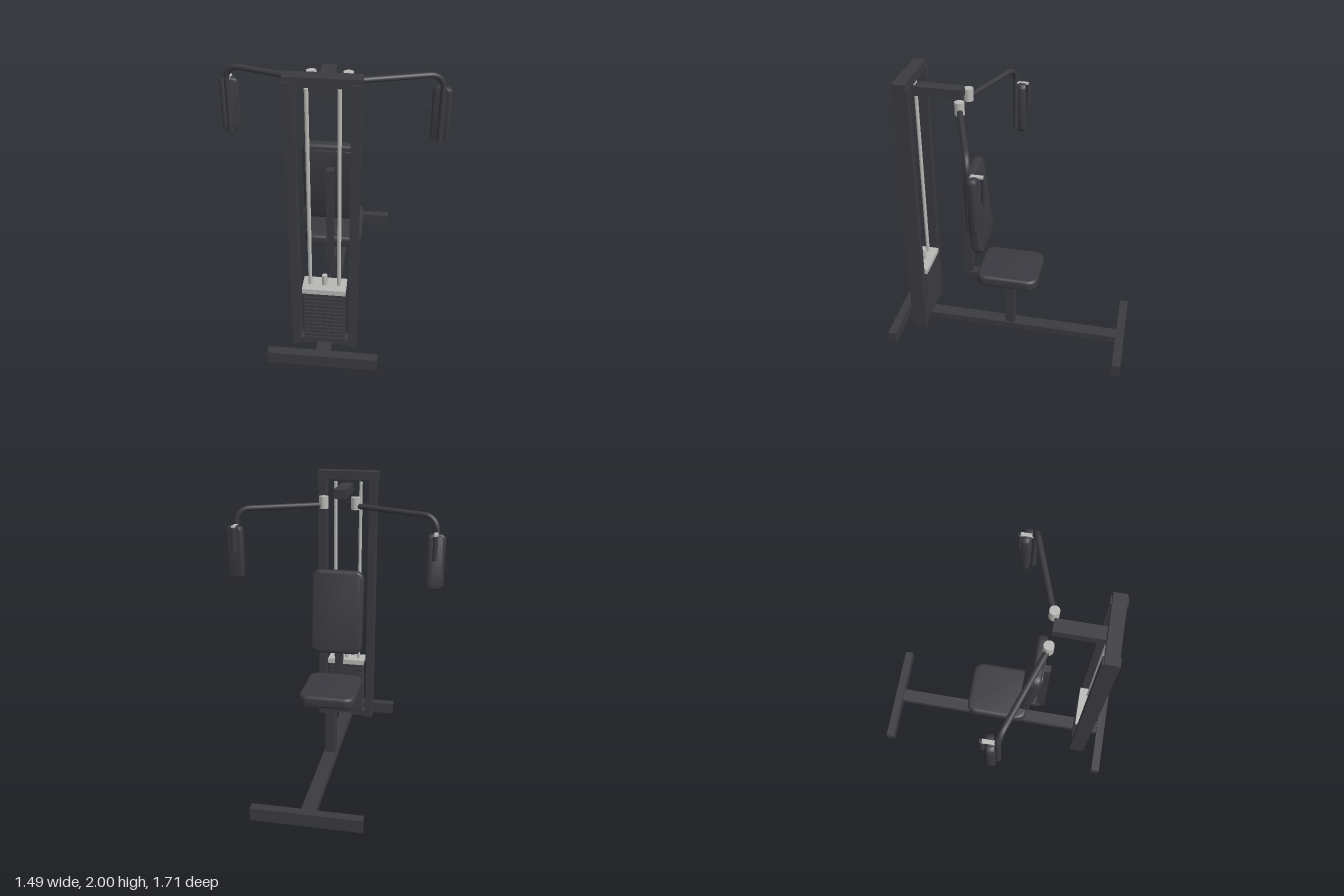
import * as THREE from 'three';
import { toCreasedNormals } from 'three/addons/utils/BufferGeometryUtils.js';

export function createModel() {
  const model = new THREE.Group();
  model.name = 'chestFlyMachine';

  const dark = new THREE.MeshStandardMaterial({ color: 0x3b3a40 });
  dark.name = 'charcoal';
  const steel = new THREE.MeshStandardMaterial({ color: 0xb8b8b6 });
  steel.name = 'steel';

  const add = (name, geometry, material, x = 0, y = 0, z = 0, parent = model) => {
    const mesh = new THREE.Mesh(geometry, material);
    mesh.name = name;
    mesh.position.set(x, y, z);
    parent.add(mesh);
    return mesh;
  };
  // Box given by its limits on each axis
  const box = (name, [x0, x1], [y0, y1], [z0, z1], material = dark) =>
    add(name, new THREE.BoxGeometry(x1 - x0, y1 - y0, z1 - z0), material,
      (x0 + x1) / 2, (y0 + y1) / 2, (z0 + z1) / 2);
  // Upright cylinder between two heights
  const rod = (name, r, x, y0, y1, z, material = steel) =>
    add(name, new THREE.CylinderGeometry(r, r, y1 - y0, 20), material, x, (y0 + y1) / 2, z);
  // Cushion: rounded rectangle in XY with softened edges, thickness along Z
  const cushion = (w, h, t, r, bevel) => {
    const a = w / 2 - bevel, b = h / 2 - bevel, c = r - bevel;
    const s = new THREE.Shape();
    s.moveTo(-a + c, -b);
    s.lineTo(a - c, -b);
    s.absarc(a - c, -b + c, c, -Math.PI / 2, 0);
    s.lineTo(a, b - c);
    s.absarc(a - c, b - c, c, 0, Math.PI / 2);
    s.lineTo(-a + c, b);
    s.absarc(-a + c, b - c, c, Math.PI / 2, Math.PI);
    s.lineTo(-a, -b + c);
    s.absarc(-a + c, -b + c, c, Math.PI, Math.PI * 1.5);
    const g = new THREE.ExtrudeGeometry(s, {
      depth: t - 2 * bevel, bevelEnabled: true, bevelSize: bevel,
      bevelThickness: bevel, bevelSegments: 4, curveSegments: 8,
    });
    g.translate(0, 0, -(t - 2 * bevel) / 2);
    return toCreasedNormals(g, 0.7);
  };

  // Base: long spine with a cross foot at each end
  box('baseSpine', [-0.047, 0.047], [0.018, 0.066], [-0.8, 0.8]);
  box('frontFoot', [-0.362, 0.362], [0, 0.087], [0.793, 0.853]);
  box('backFoot', [-0.362, 0.362], [0, 0.087], [-0.853, -0.793]);

  // Tower frame
  for (const s of [-1, 1]) {
    const x = s * 0.187;
    box('towerUpright', [x - 0.027, x + 0.027], [0.05, 1.97], [0.605, 0.71]);
    rod('guideRod', 0.0125, s * 0.093, 0.09, 1.92, 0.657);
  }
  box('towerTopBeam', [-0.222, 0.222], [1.94, 2], [0.615, 0.7]);
  box('towerBottomBeam', [-0.17, 0.17], [0.05, 0.09], [0.62, 0.695]);
  box('topBoom', [-0.043, 0.043], [1.855, 1.918], [0.31, 0.62]);

  // Weight stack
  const plates = 13, pitch = 0.031;
  for (let i = 0; i < plates; i++) {
    const y = 0.1 + i * pitch;
    box('weightPlate', [-0.132, 0.132], [y, y + 0.024], [0.6, 0.714]);
  }
  box('stackCore', [-0.122, 0.122], [0.09, 0.503], [0.608, 0.706]);
  box('stackTopPlate', [-0.14, 0.14], [0.503, 0.54], [0.592, 0.722], steel);
  rod('selectorStem', 0.017, 0, 0.53, 0.613, 0.657);

  // Seat support
  box('seatPost', [-0.035, 0.035], [0.06, 0.48], [-0.03, 0.038]);
  box('seatBeam', [-0.035, 0.035], [0.45, 0.496], [-0.03, 0.31]);
  box('backrestPost', [-0.025, 0.025], [0.48, 1.2], [0.282, 0.345]);

  // Seat
  box('seatBoard', [-0.165, 0.165], [0.494, 0.512], [-0.185, 0.19]);
  const seat = add('seatCushion', cushion(0.39, 0.436, 0.083, 0.07, 0.022), dark, 0, 0.547, 0.002);
  seat.rotation.x = -Math.PI / 2;

  // Leaning backrest
  const backrest = new THREE.Group();
  backrest.name = 'backrest';
  backrest.position.set(0, 1.06, 0.232);
  backrest.rotation.x = 0.108;
  model.add(backrest);
  add('backrestCushion', cushion(0.37, 0.605, 0.068, 0.06, 0.02), dark, 0, 0, 0, backrest);
  add('backrestBoard', cushion(0.31, 0.54, 0.014, 0.05, 0.002), dark, 0, 0, 0.036, backrest);

  // Swinging arms with forearm pads
  for (const s of [-1, 1]) {
    const v = (x, y, z) => new THREE.Vector3(s * x, y, z);
    rod('armPivot', 0.032, s * 0.111, 1.788, 1.872, 0.305);

    const start = v(0.111, 1.812, 0.305), bendIn = v(0.595, 1.802, 0.14);
    const corner = v(0.683, 1.8, 0.11), bendOut = v(0.683, 1.705, 0.11), end = v(0.683, 1.338, 0.11);
    const path = new THREE.CurvePath();
    path.add(new THREE.LineCurve3(start, bendIn));
    path.add(new THREE.CubicBezierCurve3(bendIn, bendIn.clone().lerp(corner, 0.56),
      bendOut.clone().lerp(corner, 0.56), bendOut));
    path.add(new THREE.LineCurve3(bendOut, end));
    add('armTube', new THREE.TubeGeometry(path, 80, 0.019, 14), dark);
    rod('armEndCap', 0.019, s * 0.683, 1.335, 1.341, 0.11, dark);

    const pad = add('forearmPad', cushion(0.12, 0.37, 0.053, 0.035, 0.014), dark, s * 0.683, 1.51, 0.065);
    pad.rotation.y = -s * 0.23;
    rod('handGrip', 0.016, s * 0.68, 1.53, 1.686, 0.016, dark);
    add('gripBracket', new THREE.BoxGeometry(0.026, 0.012, 0.085), steel, s * 0.681, 1.692, 0.06);
  }
  return model;
}
